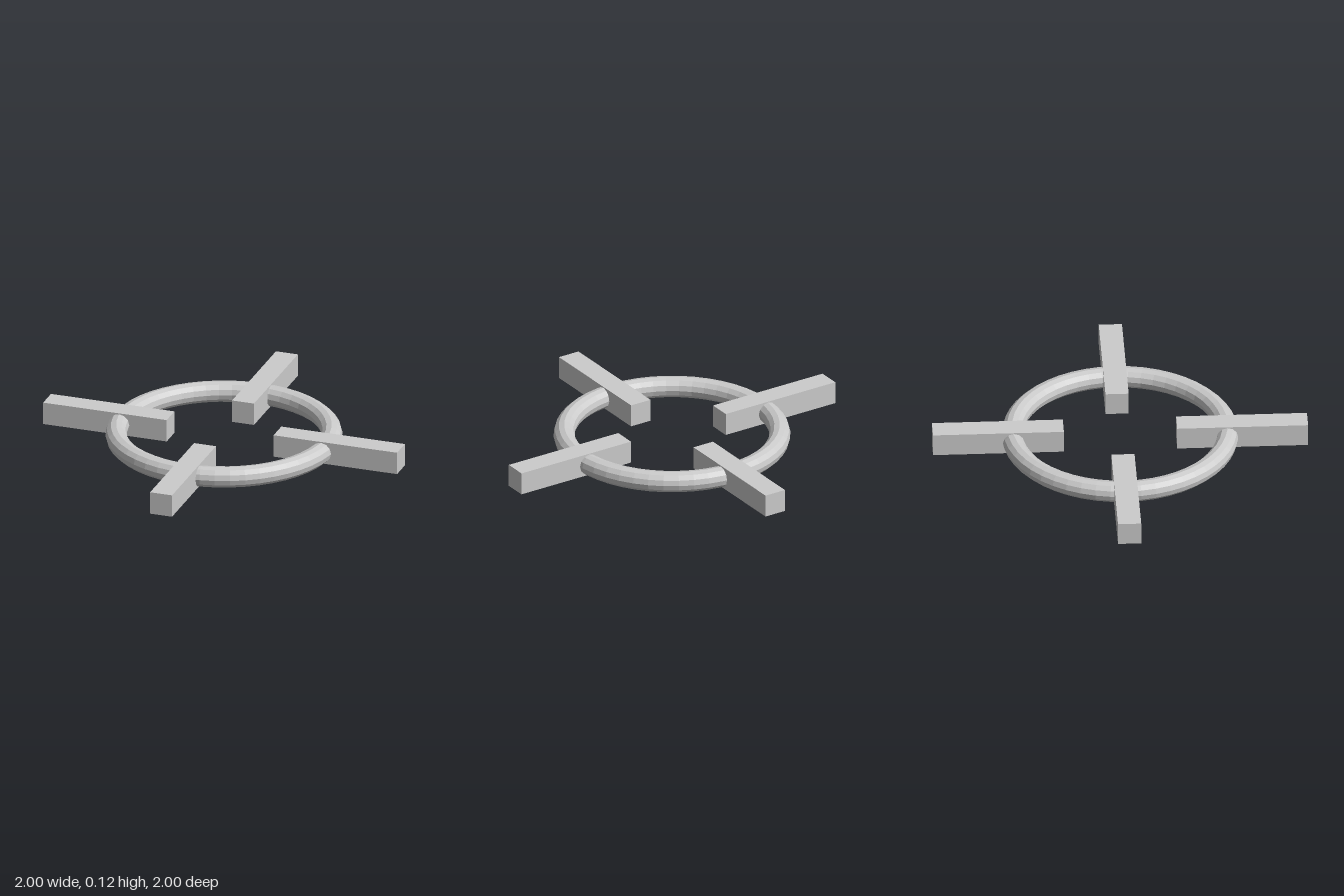
import * as THREE from 'three';

export function createModel() {
  const model = new THREE.Group();
  const material = new THREE.MeshStandardMaterial({ color: 0xcccccc, flatShading: true });
  const thickness = 0.124;
  const inner = 0.302, outer = 1;

  // Faceted ring lying flat, joining the four bars
  const ring = new THREE.Mesh(new THREE.TorusGeometry(0.574, 0.057, 12, 48), material);
  ring.name = 'ring';
  ring.rotation.x = -Math.PI / 2;
  ring.position.y = thickness / 2;
  model.add(ring);

  // Four square bars crossing the ring, pointing at the centre
  const barGeometry = new THREE.BoxGeometry(outer - inner, thickness, thickness);
  barGeometry.translate((outer + inner) / 2, thickness / 2, 0);
  ['leftBar', 'backBar', 'rightBar', 'frontBar'].forEach((name, i) => {
    const bar = new THREE.Mesh(barGeometry, material);
    bar.name = name;
    bar.rotation.y = i * Math.PI / 2;
    model.add(bar);
  });

  return model;
}
